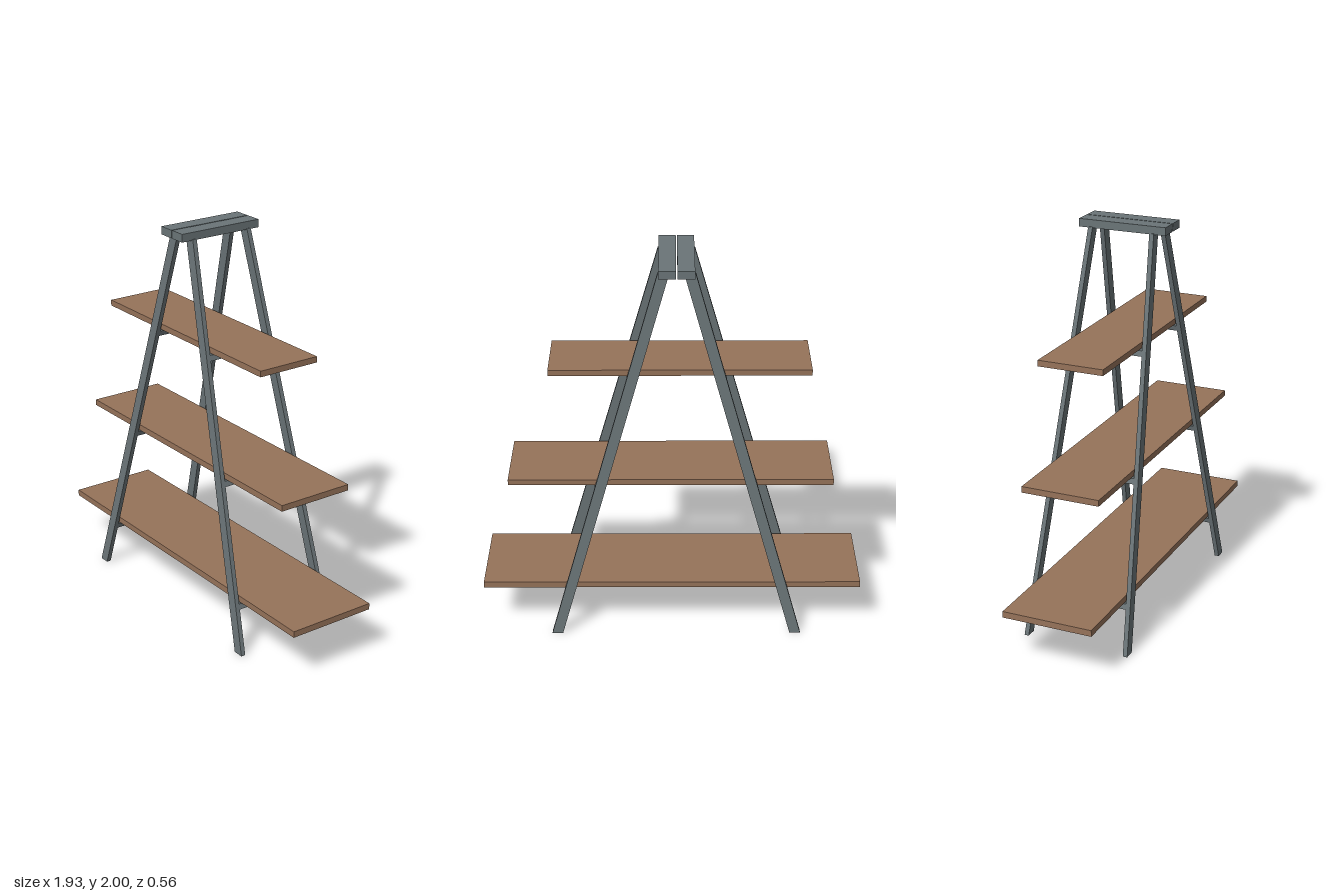
import * as THREE from 'three';

const AXIS = -0.022; // x of the frame's middle
const HEIGHT = 1.965; // leg length up to the cap

// Half spread of the frame at height y
const legX = (y) => THREE.MathUtils.lerp(0.614, 0.063, y / HEIGHT);
const legZ = (y) => THREE.MathUtils.lerp(0.268, 0.16, y / HEIGHT);

export function createModel() {
  const steel = new THREE.MeshStandardMaterial({ color: 0x6b7578 });
  steel.name = 'grey metal';
  const wood = new THREE.MeshStandardMaterial({ color: 0x96735a });
  wood.name = 'brown wood';

  const model = new THREE.Group();
  model.name = 'ladderShelf';

  const add = (name, geometry, material) => {
    const mesh = new THREE.Mesh(geometry, material);
    mesh.name = name;
    model.add(mesh);
  };

  // Box given by its limits on each axis
  const block = (name, [x0, x1], [y0, y1], [z0, z1], material) => {
    const geo = new THREE.BoxGeometry(x1 - x0, y1 - y0, z1 - z0);
    geo.translate((x0 + x1) / 2, (y0 + y1) / 2, (z0 + z1) / 2);
    add(name, geo, material);
  };

  // Box with level ends whose section slides along the slope of a leg
  const leaning = (name, side, offset, w, [y0, y1], depth, zAt, material) => {
    const geo = new THREE.BoxGeometry(w, y1 - y0, depth);
    geo.translate(0, (y0 + y1) / 2, 0);
    const p = geo.attributes.position;
    for (let i = 0; i < p.count; i++) {
      const y = p.getY(i);
      p.setX(i, p.getX(i) + AXIS + side * (legX(y) + offset));
      p.setZ(i, p.getZ(i) + zAt(y));
    }
    geo.computeVertexNormals();
    add(name, geo, material);
  };

  // Four splayed legs
  for (const side of [-1, 1]) {
    for (const end of [-1, 1]) {
      const name = (end > 0 ? 'front' : 'back') + (side > 0 ? 'Left' : 'Right') + 'Leg';
      leaning(name, side, 0, 0.055, [0, HEIGHT], 0.023, (y) => end * legZ(y), steel);
    }
  }

  // Two cap boards meeting over the legs
  block('rightCap', [-0.108, AXIS - 0.003], [1.96, 2], [-0.222, 0.23], steel);
  block('leftCap', [AXIS + 0.003, 0.064], [1.96, 2], [-0.222, 0.23], steel);

  // Shelves, each resting on two crossbars and held by two cleats
  const shelves = [
    { name: 'bottom', x: [-0.965, 0.965], y: [0.253, 0.285], z: 0.233, cleat: 0.25 },
    { name: 'middle', x: [-0.805, 0.817], y: [0.842, 0.873], z: 0.2, cleat: 0.186 },
    { name: 'top', x: [-0.678, 0.6], y: [1.434, 1.464], z: 0.167, cleat: 0.122 },
  ];
  for (const { name, x, y, z, cleat } of shelves) {
    block(name + 'Shelf', x, y, [-z, z], wood);
    const under = y[0];
    for (const side of [-1, 1]) {
      const span = 2 * legZ(under) - 0.02;
      leaning(name + 'Crossbar', side, 0, 0.045, [under - 0.034, under - 0.007], span, () => 0, steel);
      leaning(name + 'Cleat', side, 0.052, 0.033, [under - 0.02, under], cleat, () => 0.003, wood);
    }
  }

  return model;
}
